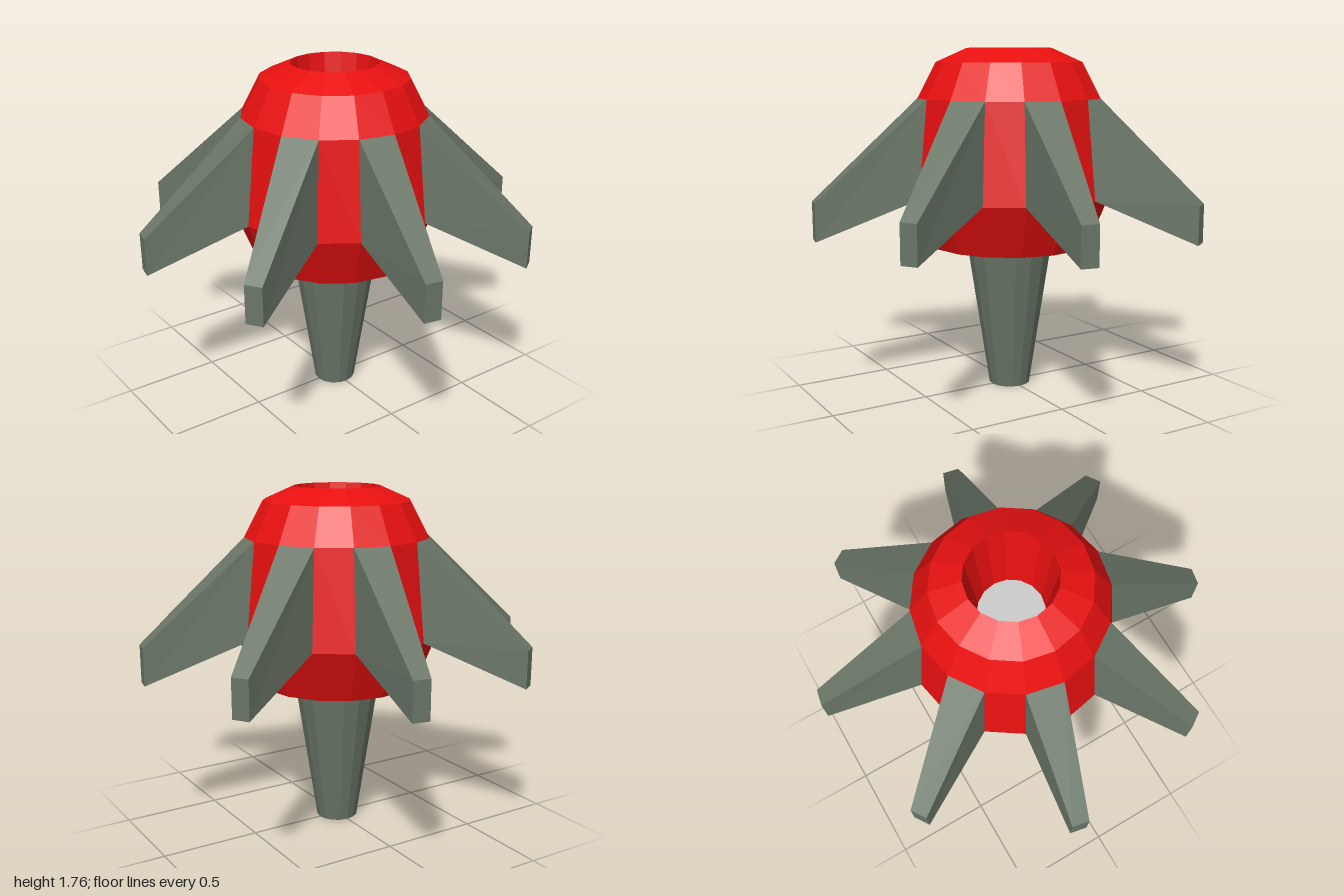
import * as THREE from 'three';

const SIDES = 16;
const paint = (color) => new THREE.MeshStandardMaterial({ color, flatShading: true });

function part(name, geometry, material) {
  const mesh = new THREE.Mesh(geometry, material);
  mesh.name = name;
  return mesh;
}

const turned = (profile) =>
  new THREE.LatheGeometry(profile.map(([r, y]) => new THREE.Vector2(r, y)), SIDES);

function disc(radius, y, up) {
  const g = new THREE.CircleGeometry(radius, SIDES);
  g.rotateX(up ? -Math.PI / 2 : Math.PI / 2);
  return g.translate(0, y, 0);
}

// Box whose corners are moved to a tapered, swept-down fin along +z
function finGeometry() {
  const g = new THREE.BoxGeometry(1, 1, 1);
  const p = g.attributes.position;
  const inset = Math.cos(Math.PI / SIDES);
  for (let i = 0; i < p.count; i++) {
    const top = p.getY(i) > 0, tip = p.getZ(i) > 0, side = Math.sign(p.getX(i));
    const rootRadius = top ? 0.47 : 0.52;
    const halfWidth = tip ? 0.043 : rootRadius * Math.sin(Math.PI / SIDES);
    const y = tip ? (top ? 1.02 : 0.83) : (top ? 1.51 : 1.02);
    p.setXYZ(i, side * halfWidth, y, tip ? 1.011 : rootRadius * inset);
  }
  g.computeVertexNormals();
  return g;
}

export function createModel() {
  const model = new THREE.Group();
  const red = paint(0xe81010), green = paint(0x6a7668);
  const grey = paint(0xcccccc), dark = paint(0x101010);

  // Faceted body with a tapering well in the top
  model.add(part('body', turned([
    [0.415, 0.76], [0.52, 1.02], [0.47, 1.51], [0.375, 1.69],
    [0.218, 1.76], [0.165, 1.35],
  ]), red));
  model.add(part('wellFloor', disc(0.165, 1.35, true), grey));

  // Recessed underside around the stem
  model.add(part('underside', turned([[0.22, 0.9], [0.415, 0.76]]), green));

  // Tapered stem with a bored tip
  model.add(part('stem', turned([
    [0.05, 0.05], [0.065, 0], [0.107, 0], [0.223, 0.76], [0.244, 0.9],
  ]), green));
  model.add(part('stemBore', disc(0.05, 0.05, false), dark));

  // Eight fins, one on every second facet; the underside face is grey
  const fin = finGeometry();
  const finPaint = [green, green, green, grey, green, green];
  for (let i = 0; i < 8; i++) {
    const mesh = part('fin' + (i + 1), fin, finPaint);
    mesh.rotation.y = i * Math.PI / 4 - Math.PI / SIDES;
    model.add(mesh);
  }
  return model;
}
